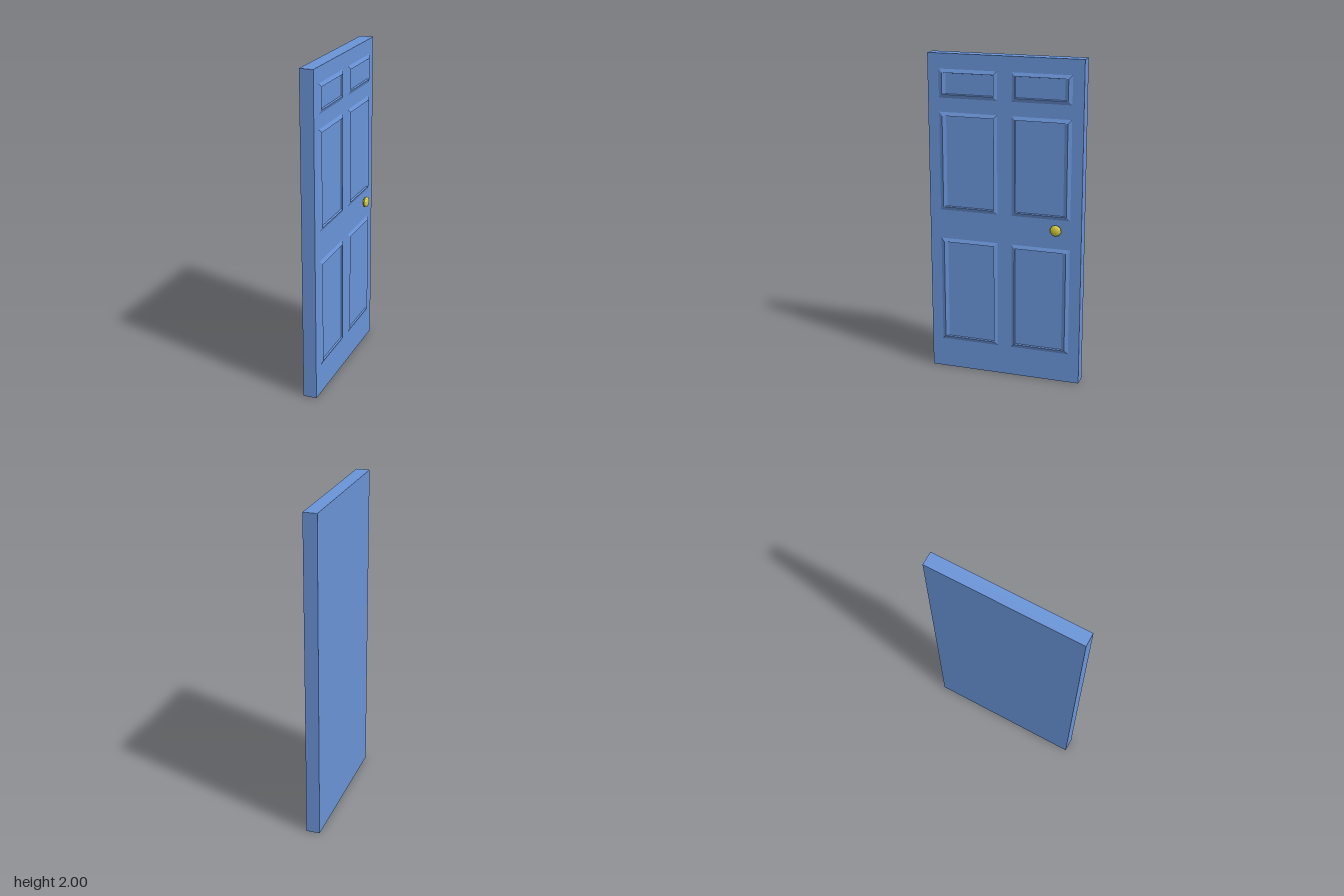
import * as THREE from 'three';

const FACE = 0.023, RIDGE = 0.033, BACK = -0.06;

// Ring of moulding: sloped outside, ridge, then down to the door face.
function mouldingGeometry(side, y0, y1) {
  // Rectangle at depth x: a = centre-side edge, b = outer edge, as |z|
  const rect = (x, a, b, bottom, top) => {
    const lo = Math.min(side * a, side * b), hi = Math.max(side * a, side * b);
    return [[x, bottom, hi], [x, bottom, lo], [x, top, lo], [x, top, hi]];
  };
  const e = 0.022;
  const loops = [
    rect(FACE, 0.045, 0.41, y0, y1),
    rect(RIDGE, 0.066, 0.388, y0 + e, y1 - e),
    rect(FACE + 0.0005, 0.068, 0.366, y0 + e + 0.004, y1 - e - 0.002),
  ];
  const pos = [];
  for (let k = 0; k < loops.length - 1; k++) {
    for (let i = 0; i < 4; i++) {
      const j = (i + 1) % 4, a = loops[k], b = loops[k + 1];
      pos.push(...a[i], ...a[j], ...b[j], ...a[i], ...b[j], ...b[i]);
    }
  }
  const g = new THREE.BufferGeometry();
  g.setAttribute('position', new THREE.Float32BufferAttribute(pos, 3));
  g.computeVertexNormals();
  return g;
}

export function createModel() {
  const group = new THREE.Group();
  group.name = 'door';
  const paint = new THREE.MeshStandardMaterial({ color: 0x6a94d8, flatShading: true });
  const brass = new THREE.MeshStandardMaterial({ color: 0xd6cc3c, flatShading: true });

  const add = (name, geometry, material) => {
    const mesh = new THREE.Mesh(geometry, material);
    mesh.name = name;
    group.add(mesh);
    return mesh;
  };

  // Door leaf
  const leaf = add('doorLeaf', new THREE.BoxGeometry(FACE - BACK, 2, 0.958), paint);
  leaf.position.set((FACE + BACK) / 2, 1, 0);

  // Six panel mouldings in three rows
  const rows = [['lower', 0.187, 0.86], ['middle', 1.042, 1.65], ['upper', 1.735, 1.908]];
  for (const [row, y0, y1] of rows) {
    for (const side of [-1, 1]) {
      add(`${row}${side > 0 ? 'Left' : 'Right'}PanelMoulding`, mouldingGeometry(side, y0, y1), paint);
    }
  }

  // Flattened round knob
  const knobGeometry = new THREE.SphereGeometry(0.035, 10, 8);
  knobGeometry.rotateZ(-Math.PI / 2);
  knobGeometry.scale(0.5, 1, 1);
  add('knob', knobGeometry, brass).position.set(0.041, 0.98, -0.325);

  return group;
}
